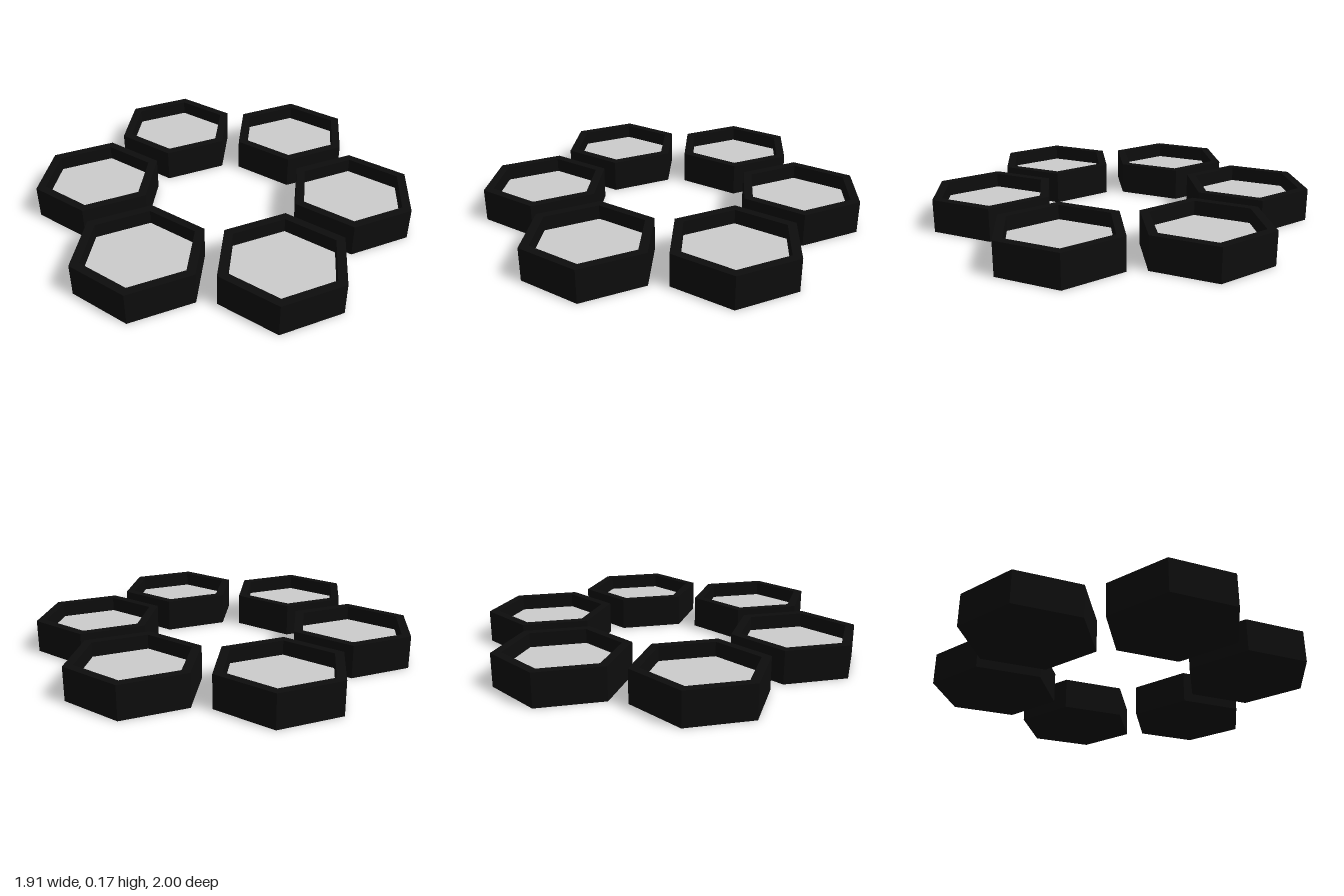
import * as THREE from 'three';

const RING = 0.7;        // distance of each cell from the middle
const OUTER = 0.3464;    // corner radius of the tray
const INNER = 0.2945;    // corner radius of the recess
const HEIGHT = 0.175;
const PANEL_Y = 0.098;   // level of the recessed panel

export function createModel() {
  const group = new THREE.Group();
  group.name = 'hexagonCellRing';

  const black = new THREE.MeshStandardMaterial({ color: 0x0d0d0d, flatShading: true });
  const grey = new THREE.MeshStandardMaterial({ color: 0xcccccc });

  // Tray profile: closed bottom, outer wall, flat rim, inner wall down to the panel
  const profile = [
    [0, 0], [OUTER, 0], [OUTER, HEIGHT], [INNER, HEIGHT], [INNER, PANEL_Y],
  ].map(([r, y]) => new THREE.Vector2(r, y));
  const trayGeometry = new THREE.LatheGeometry(profile, 6, Math.PI / 2).toNonIndexed();
  trayGeometry.computeVertexNormals();

  // Flat hexagonal panel with its corners on the x axis
  const panelGeometry = new THREE.CircleGeometry(INNER, 6).rotateX(-Math.PI / 2);

  // Six cells around the ring, all facing the same way
  for (let i = 0; i < 6; i++) {
    const angle = Math.PI / 6 + (i * Math.PI) / 3;
    const cell = new THREE.Group();
    cell.name = `cell${i + 1}`;
    cell.position.set(RING * Math.cos(angle), 0, RING * Math.sin(angle));

    const tray = new THREE.Mesh(trayGeometry, black);
    tray.name = 'tray';
    const panel = new THREE.Mesh(panelGeometry, grey);
    panel.name = 'panel';
    panel.position.y = PANEL_Y;

    cell.add(tray, panel);
    group.add(cell);
  }
  return group;
}
